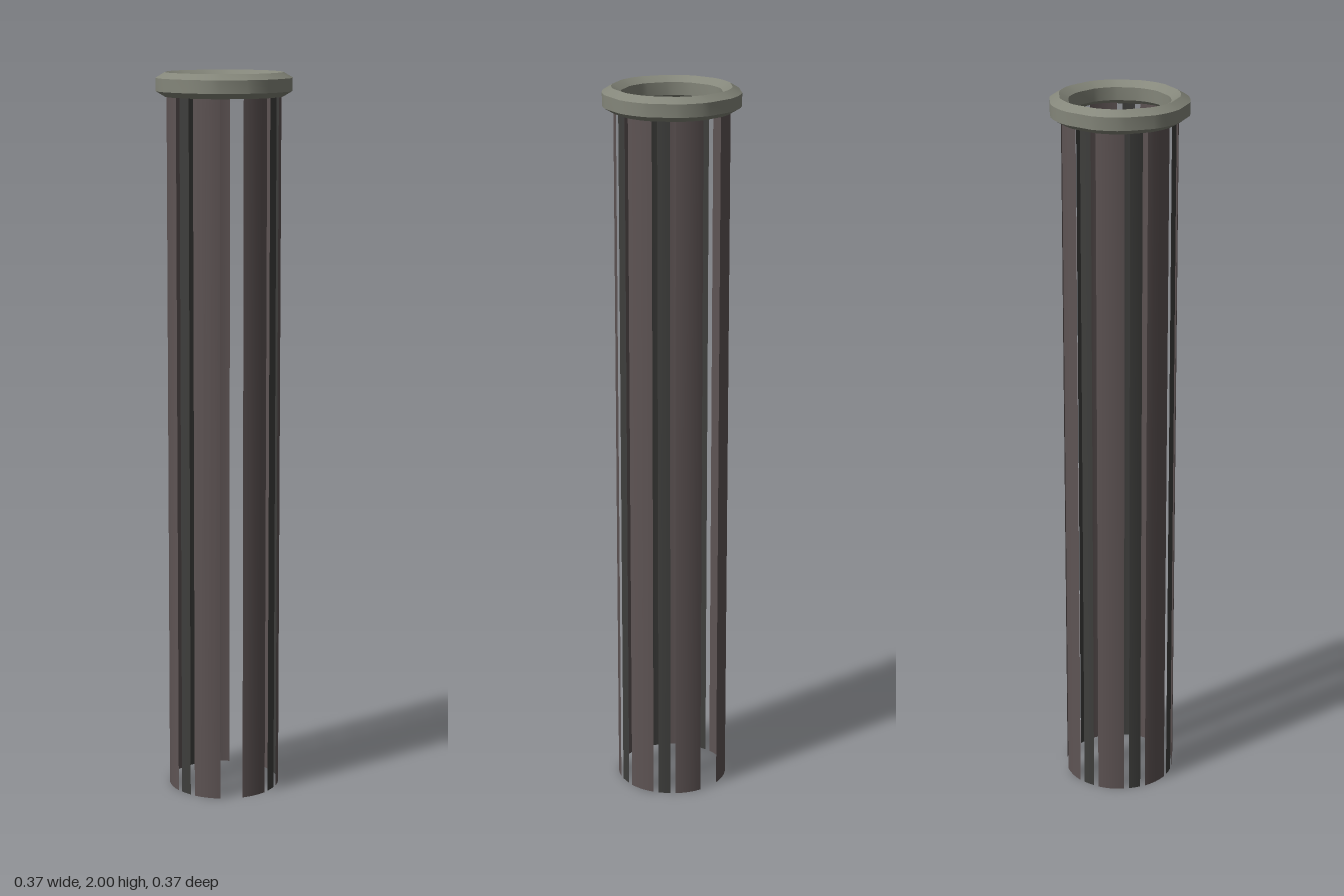
import * as THREE from 'three';
import { toCreasedNormals } from 'three/addons/utils/BufferGeometryUtils.js';

const COUNT = 7;
const STEP = (Math.PI * 2) / COUNT;
const HALF = THREE.MathUtils.degToRad(14); // half width of a wide slat

export function createModel() {
  const model = new THREE.Group();
  model.name = 'slattedTube';

  const slatMat = new THREE.MeshStandardMaterial({ color: 0x5e5454, side: THREE.DoubleSide });
  slatMat.name = 'warm brown grey';
  const stripMat = new THREE.MeshStandardMaterial({ color: 0x3e3e3c, side: THREE.DoubleSide });
  stripMat.name = 'dark grey';
  const collarMat = new THREE.MeshStandardMaterial({ color: 0x84867a });
  collarMat.name = 'olive grey';

  const body = new THREE.Group();
  body.name = 'body';
  body.position.z = -0.002;
  model.add(body);

  // Curved upright slat, centred on an angle measured from the front
  const addSlat = (name, radius, angle, half, segments, material) => {
    const height = 1.95;
    const geo = new THREE.CylinderGeometry(radius, radius, height, segments, 1, true, angle - half, half * 2);
    geo.translate(0, height / 2, 0);
    const mesh = new THREE.Mesh(geo, material);
    mesh.name = name;
    body.add(mesh);
  };

  // Seven wide slats, with narrow dark strips in most of the gaps
  const openGaps = [2, 6];
  for (let i = 0; i < COUNT; i++) {
    addSlat('wideSlat', 0.155, i * STEP, HALF, 4, slatMat);
    if (!openGaps.includes(i)) {
      addSlat('narrowStrip', 0.154, (i + 0.5) * STEP, THREE.MathUtils.degToRad(6.3), 2, stripMat);
    }
  }

  // Bevelled collar: round over each slat, straight across each gap
  const profile = [
    [0.135, 1.95], [0.16, 1.935], [0.185, 1.95], [0.185, 1.985],
    [0.16, 2], [0.135, 1.985], [0.135, 1.95],
  ].map(([r, y]) => new THREE.Vector2(r, y));
  const PER = 5;
  const lathe = new THREE.LatheGeometry(profile, COUNT * PER);
  const pos = lathe.attributes.position;
  for (let v = 0; v < pos.count; v++) {
    const ring = Math.floor(v / profile.length);
    const p = profile[v % profile.length];
    const a = Math.floor(ring / PER) * STEP - HALF + (ring % PER) * (HALF / 2);
    pos.setXYZ(v, p.x * Math.sin(a), p.y, p.x * Math.cos(a));
  }
  const collar = new THREE.Mesh(toCreasedNormals(lathe, 0.45), collarMat);
  collar.name = 'collar';
  body.add(collar);

  return model;
}
